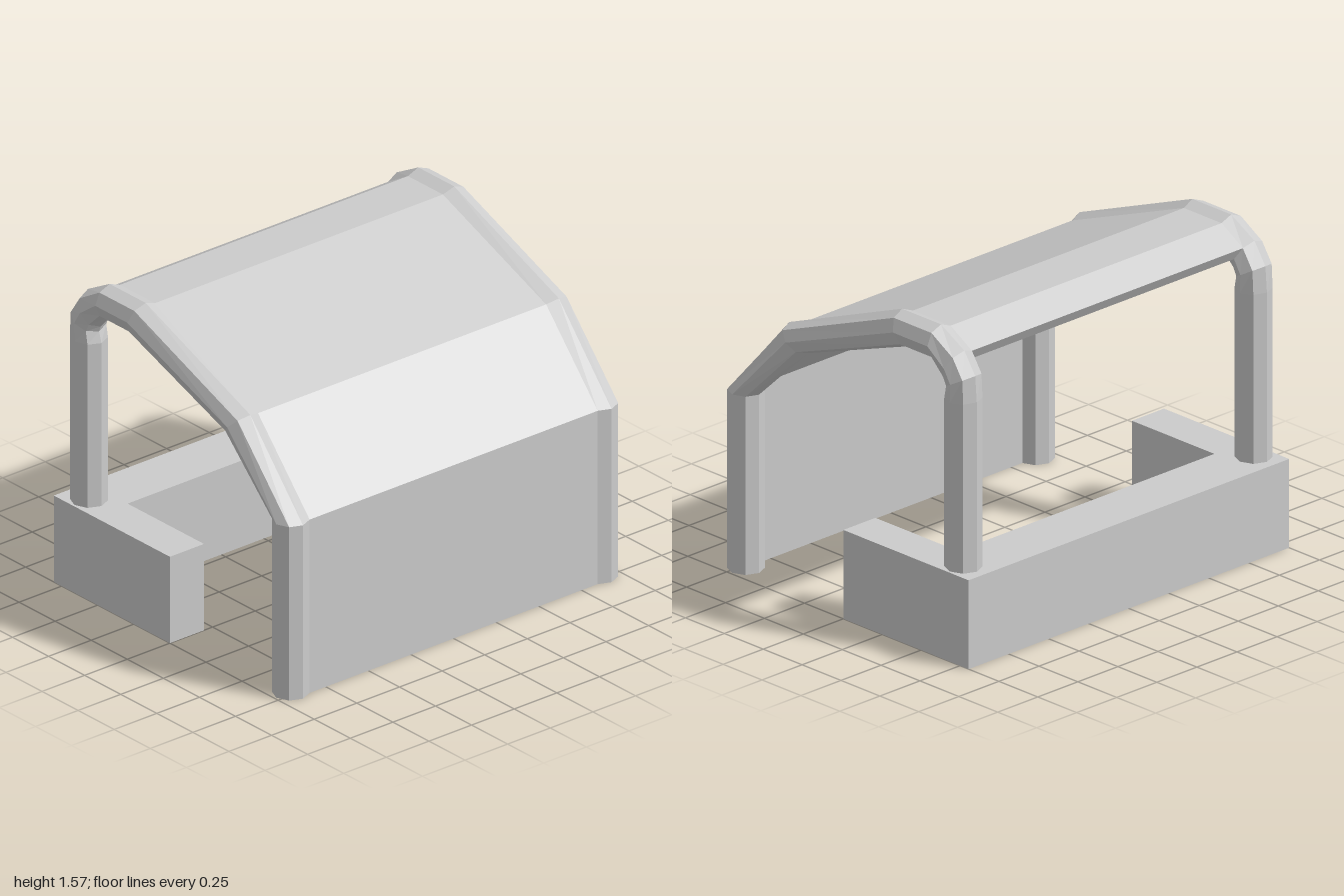
import * as THREE from 'three';

const material = new THREE.MeshStandardMaterial({ color: 0xcccccc, flatShading: true });
const TUBE_X = 0.905, TUBE_R = 0.085, SIDES = 8;

// Bend stations of the frame: outer z, y and inner z, y
const stations = [
  [0.81, 0, 0.64, 0],
  [0.81, 0.867, 0.64, 0.867],
  [0.445, 1.28, 0.325, 1.165],
  [-0.28, 1.565, -0.335, 1.4],
  [-0.53, 1.565, -0.53, 1.4],
  [-0.68, 1.483, -0.592, 1.328],
  [-0.75, 1.38, -0.603, 1.3],
  [-0.76, 1.255, -0.587, 1.247],
  [-0.76, 0.43, -0.587, 0.43],
];

// Point across a station: t = 1 is the outer side, 0 the centre, -1 the inner side
function across([oz, oy, iz, iy], t) {
  return { z: (oz + iz) / 2 + (t * (oz - iz)) / 2, y: (oy + iy) / 2 + (t * (oy - iy)) / 2 };
}

// Mitred octagonal tube swept through the stations, closed at both ends
function tubeGeometry() {
  const positions = [], index = [];
  for (const s of stations) {
    for (let j = 0; j < SIDES; j++) {
      const a = (j / SIDES) * Math.PI * 2;
      const p = across(s, Math.sin(a));
      positions.push(Math.cos(a) * TUBE_R, p.y, p.z);
    }
  }
  const last = (stations.length - 1) * SIDES;
  for (let i = 0; i < last; i += SIDES) {
    for (let j = 0; j < SIDES; j++) {
      const k = (j + 1) % SIDES;
      index.push(i + j, i + SIDES + j, i + k, i + k, i + SIDES + j, i + SIDES + k);
    }
  }
  for (let j = 1; j < SIDES - 1; j++) {
    index.push(0, j, j + 1, last, last + j + 1, last + j);
  }
  const geometry = new THREE.BufferGeometry();
  geometry.setAttribute('position', new THREE.Float32BufferAttribute(positions, 3));
  geometry.setIndex(index);
  const flat = geometry.toNonIndexed();
  flat.computeVertexNormals();
  return flat;
}

// Folded sheet between the frames, following their first six stations
function panelGeometry() {
  const covered = stations.slice(0, 6);
  const outer = covered.map((s) => across(s, Math.SQRT1_2));
  const inner = covered.map((s) => across(s, 0)).reverse();
  const shape = new THREE.Shape([...outer, ...inner].map((p) => new THREE.Vector2(-p.z, p.y)));
  const width = 2 * (TUBE_X - TUBE_R * Math.SQRT1_2);
  return new THREE.ExtrudeGeometry(shape, { depth: width, bevelEnabled: false })
    .translate(0, 0, -width / 2)
    .rotateY(Math.PI / 2);
}

// U-shaped block, open towards the front
function baseGeometry() {
  const outline = [[-1, 0], [-0.8, 0], [-0.8, 0.53], [0.8, 0.53], [0.8, 0], [1, 0], [1, 0.805], [-1, 0.805]];
  const shape = new THREE.Shape(outline.map(([x, y]) => new THREE.Vector2(x, y)));
  return new THREE.ExtrudeGeometry(shape, { depth: 0.432, bevelEnabled: false }).rotateX(-Math.PI / 2);
}

export function createModel() {
  const model = new THREE.Group();
  model.name = 'shelter';
  const add = (name, geometry, x = 0) => {
    const mesh = new THREE.Mesh(geometry, material);
    mesh.name = name;
    mesh.position.x = x;
    model.add(mesh);
  };
  const tube = tubeGeometry();
  add('leftFrame', tube, TUBE_X);
  add('rightFrame', tube, -TUBE_X);
  add('coverPanel', panelGeometry());
  add('rearBase', baseGeometry());
  return model;
}
